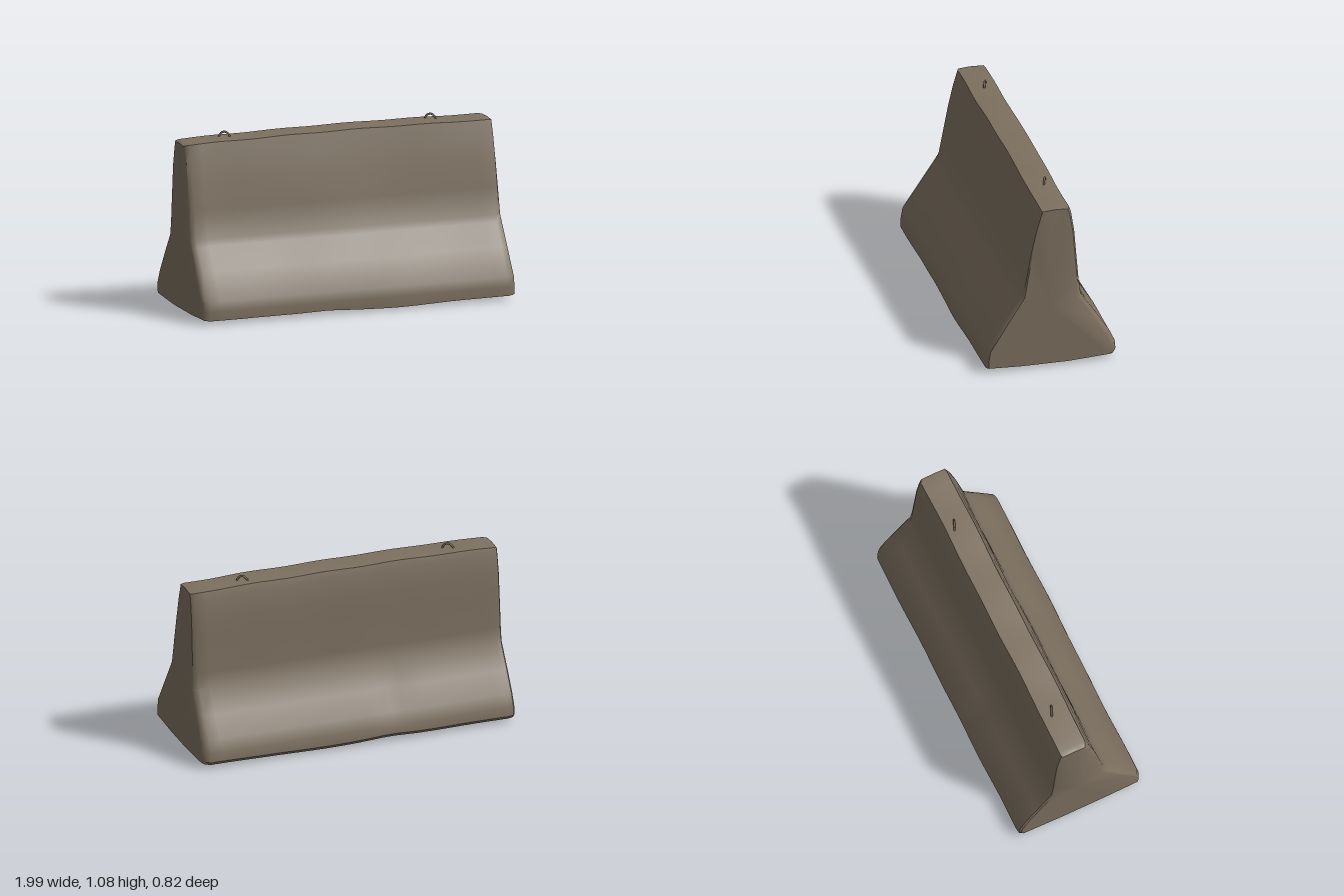
import * as THREE from 'three';
import { toCreasedNormals } from 'three/addons/utils/BufferGeometryUtils.js';

// Cross-section [z, y]: down the front, across the underside, up the back, across the top
const PROFILE = [
  [0.055, 1.04], [0.085, 0.93], [0.115, 0.8], [0.145, 0.64], [0.175, 0.475], [0.2, 0.435],
  [0.29, 0.3], [0.395, 0.14], [0.405, 0.08], [0.405, 0.025],
  [0.2, 0.015], [-0.13, 0.012], [-0.39, 0.025],
  [-0.405, 0.045], [-0.4, 0.1], [-0.365, 0.175], [-0.285, 0.3], [-0.19, 0.44], [-0.178, 0.53],
  [-0.16, 0.75], [-0.15, 0.87], [-0.13, 1.0], [-0.117, 1.042], [-0.03, 1.046],
];

// Worn, slightly uneven concrete: a gentle displacement along the length
function wear(x, z, y) {
  const wave = Math.sin(x * 5.3 + y * 4) * 0.6 + Math.sin(x * 11.7 + z * 9 + 1) * 0.4;
  let nz = z + wave * 0.004;
  let ny = y;
  if (y > 0.98) ny += 0.004 - 0.013 * x * x + 0.002 * Math.sin(x * 14);
  if (y < 0.06) ny -= 0.011 * Math.exp(-(((x - 0.25) / 0.3) ** 2)) - 0.006 * Math.exp(-(((x + 0.2) / 0.12) ** 2));
  // Chipped hollow low on the back
  if (z < -0.25 && y > 0.15) nz += 0.012 * Math.exp(-(((x + 0.24) / 0.07) ** 2));
  return [nz, ny];
}

function barrierGeometry() {
  const rings = [];
  // A ring can be pulled in at the front, back, top and bottom to bevel the ends
  const addRing = (x, front, back, vert, lean) => {
    rings.push(PROFILE.map(([z, y]) => {
      let [nz, ny] = wear(x, z, y);
      nz -= z > 0 ? Math.min(front, z) : -Math.min(back, -z);
      if (y > 0.95) ny -= vert;
      if (y < 0.06) ny += vert;
      return [x - Math.sign(x) * lean * y, ny, nz];
    }));
  };
  addRing(-0.995, 0.025, 0.015, 0.008, 0.008);
  addRing(-0.985, 0.012, 0.004, 0.003, 0.004);
  const steps = 26;
  for (let i = 0; i <= steps; i++) addRing(-0.955 + (1.91 * i) / steps, 0, 0, 0, 0);
  addRing(0.985, 0.004, 0.014, 0.003, 0.008);
  addRing(1.0, 0.012, 0.033, 0.008, 0.022);

  const n = PROFILE.length;
  const pos = rings.flat(2);
  const index = [];
  for (let i = 0; i < rings.length - 1; i++) {
    for (let j = 0; j < n; j++) {
      const a = i * n + j, b = i * n + ((j + 1) % n);
      index.push(a, b, a + n, b, b + n, a + n);
    }
  }
  // End faces fan out from a point at the waist
  for (const end of [0, rings.length - 1]) {
    const c = pos.length / 3;
    pos.push(end ? 0.992 : -0.994, 0.4, 0);
    for (let j = 0; j < n; j++) {
      const a = end * n + j, b = end * n + ((j + 1) % n);
      if (end) index.push(c, a, b);
      else index.push(c, b, a);
    }
  }
  const g = new THREE.BufferGeometry();
  g.setAttribute('position', new THREE.Float32BufferAttribute(pos, 3));
  g.setIndex(index);
  return toCreasedNormals(g, 0.65);
}

export function createModel() {
  const concrete = new THREE.MeshStandardMaterial({ color: 0x7d7060 });
  concrete.name = 'concrete';

  const model = new THREE.Group();
  model.name = 'roadBarrier';

  const body = new THREE.Mesh(barrierGeometry(), concrete);
  body.name = 'barrierBody';
  model.add(body);

  // Small bent lifting loops set into the top
  const path = new THREE.CatmullRomCurve3([
    [-0.035, -0.02], [-0.032, 0.012], [-0.012, 0.034], [0.008, 0.036], [0.028, 0.018], [0.035, -0.02],
  ].map(([x, y]) => new THREE.Vector3(x, y, 0)));
  const loopGeometry = new THREE.TubeGeometry(path, 14, 0.0065, 6);
  [[-0.695, -0.045, 'liftingLoopRight'], [0.625, -0.055, 'liftingLoopLeft']].forEach(([x, z, name]) => {
    const loop = new THREE.Mesh(loopGeometry, concrete);
    loop.position.set(x, 1.036, z);
    loop.rotation.y = -0.38;
    loop.name = name;
    model.add(loop);
  });

  return model;
}
